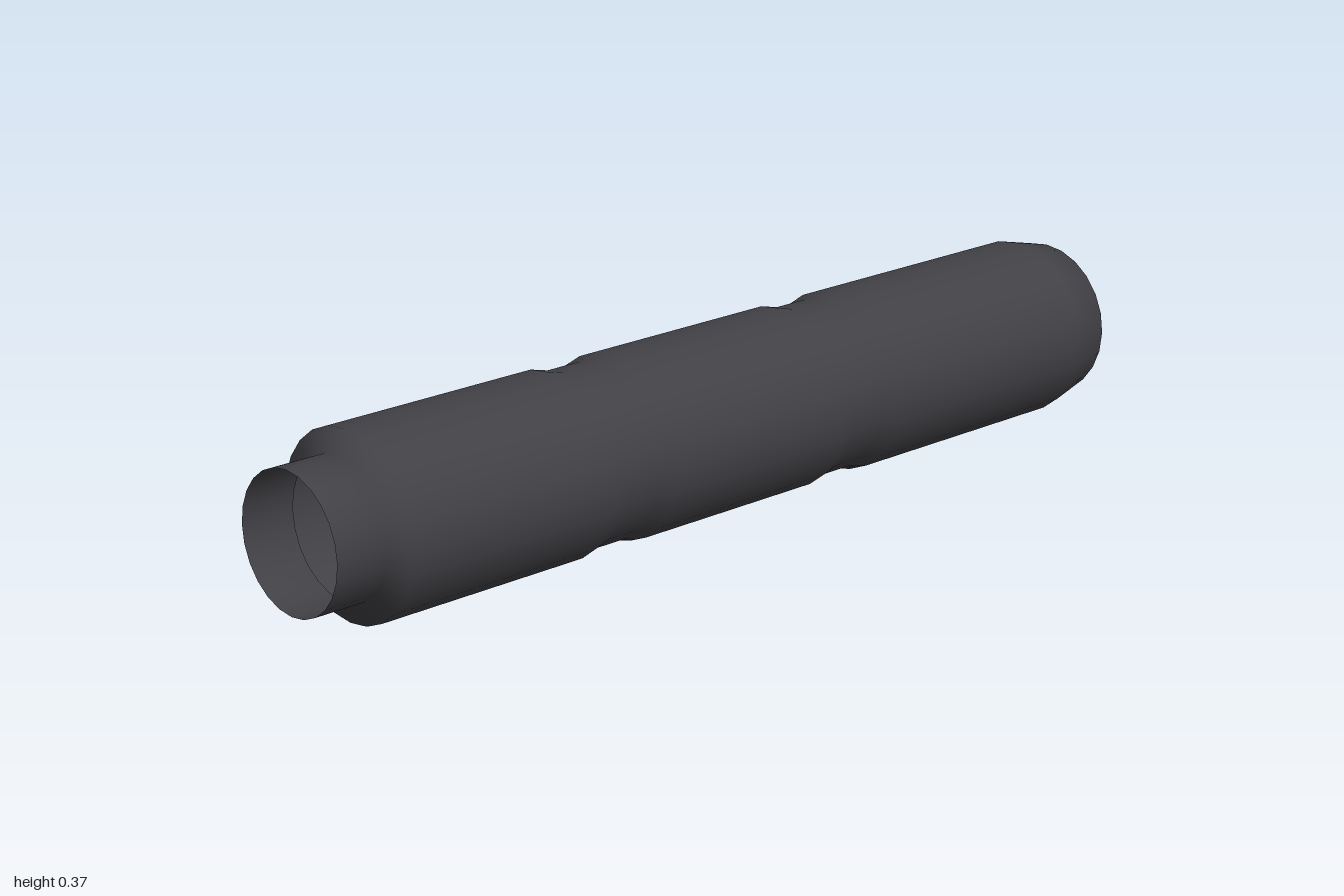
import * as THREE from 'three';

export function createModel() {
  const group = new THREE.Group();
  group.name = 'hollowCylinder';

  const darkMetal = new THREE.MeshStandardMaterial({ color: 0x414045, side: THREE.DoubleSide });
  darkMetal.name = 'darkMetal';

  const R = 0.183;        // main tube radius
  const grooveR = 0.173;  // radius at the bottom of a groove
  const collarR = 0.137;  // mounting collar radius
  const holeR = 0.083;    // rear opening radius

  // Shallow groove with sloped sides, centred at z
  const groove = (z) => [[R, z - 0.08], [grooveR, z - 0.04], [grooveR, z + 0.04], [R, z + 0.08]];

  // Thin shell profile (radius, z) from the rear opening to the open front collar
  const profile = [
    [holeR, -1], [0.16, -1], [R, -0.9],
    ...groove(-0.28),
    ...groove(0.32),
    [R, 0.872], [collarR, 0.888], [collarR, 1],
  ].map(([r, z]) => new THREE.Vector2(r, z));

  const shell = new THREE.LatheGeometry(profile, 24);
  shell.rotateX(Math.PI / 2);

  const tube = new THREE.Mesh(shell, darkMetal);
  tube.name = 'groovedTube';
  tube.position.y = 0.185;
  group.add(tube);

  return group;
}
